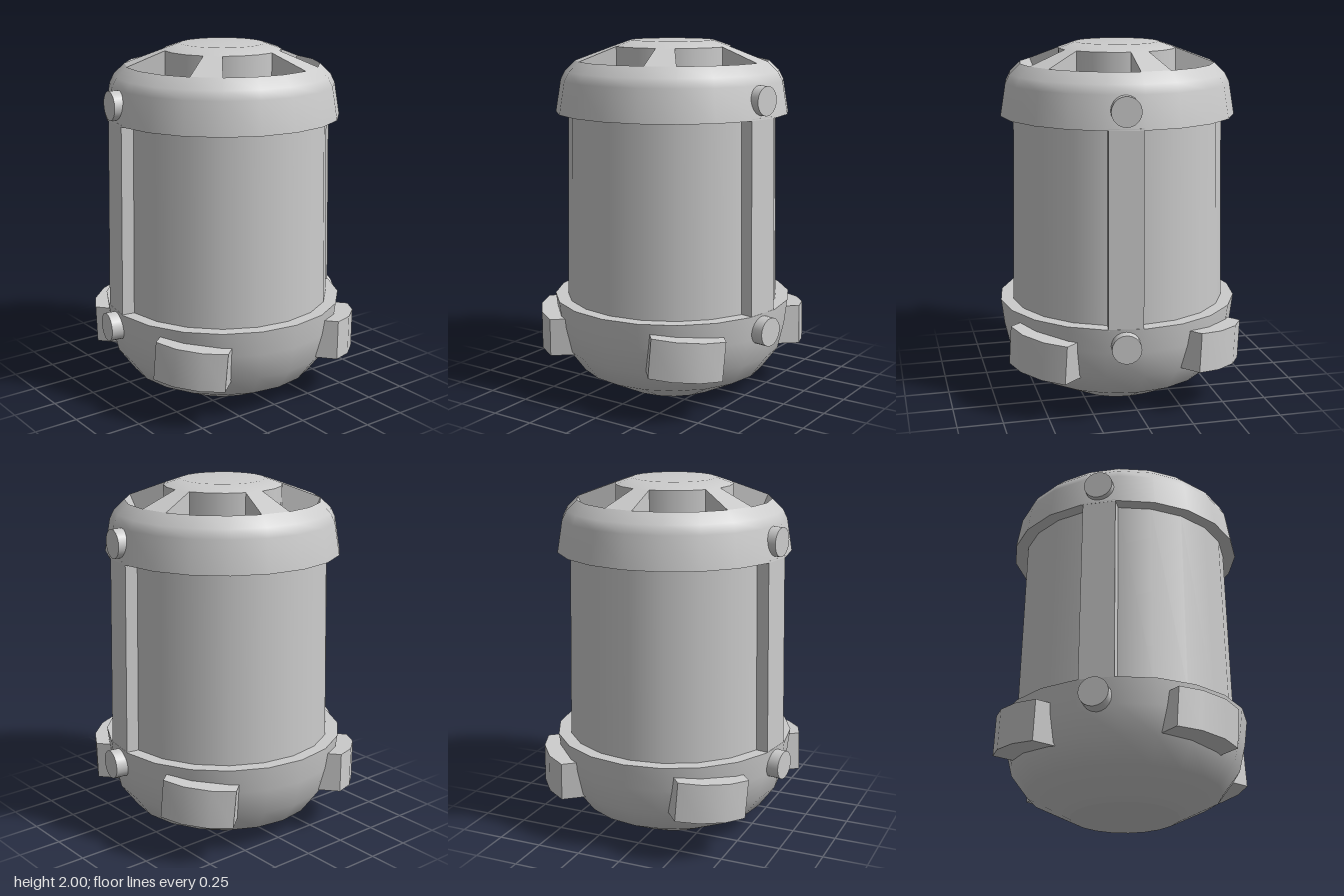
import * as THREE from 'three';
import { toCreasedNormals } from 'three/addons/utils/BufferGeometryUtils.js';
import { ConvexGeometry } from 'three/addons/geometries/ConvexGeometry.js';

const SIDES = 20;
const rad = THREE.MathUtils.degToRad;
const material = new THREE.MeshStandardMaterial({ color: 0xcccccc });

// point at a radius, height and angle (degrees from +x towards +z)
const polar = (r, y, deg) => new THREE.Vector3(r * Math.cos(rad(deg)), y, r * Math.sin(rad(deg)));

export function createModel() {
  const model = new THREE.Group();

  const add = (name, geometry, parent = model) => {
    const mesh = new THREE.Mesh(geometry, material);
    mesh.name = name;
    parent.add(mesh);
    return mesh;
  };
  // smooth surface of revolution; separate calls give sharp edges
  const turn = (name, ...profile) =>
    add(name, new THREE.LatheGeometry(profile.map(([r, y]) => new THREE.Vector2(r, y)), SIDES));

  // bowl-shaped base
  turn('baseBottom', [0, 0], [0.3, 0]);
  turn('baseBowl', [0.3, 0], [0.535, 0.12], [0.63, 0.25], [0.665, 0.4], [0.682, 0.54]);
  turn('baseRim', [0.682, 0.54], [0.59, 0.54]);

  // tapered body
  turn('body', [0.61, 0.53], [0.588, 1.61]);

  // cap with its recessed ring of vents
  turn('capUnderside', [0.57, 1.6], [0.66, 1.6]);
  turn('capShell', [0.66, 1.6], [0.63, 1.78], [0.605, 1.83], [0.545, 1.887]);
  turn('ventOuterWall', [0.545, 1.887], [0.507, 1.8]);
  turn('ventFloor', [0.507, 1.8], [0.33, 1.8]);
  turn('hubWall', [0.33, 1.8], [0.33, 1.967]);
  turn('hubTop', [0.33, 1.967], [0.235, 2], [0, 2]);

  // five spokes between the vents
  const spokeSection = [[0.33, 1.8], [0.507, 1.8], [0.545, 1.887], [0.33, 1.967]];
  for (let i = 0; i < 5; i++) {
    const start = 36 + 72 * i;
    const points = spokeSection.flatMap(([r, y]) => [polar(r, y, start), polar(r, y, start + 18)]);
    add('ventSpoke', new ConvexGeometry(points));
  }

  // raised strip and two bolts, on the front and on the back
  for (const [side, middle] of [['front', 99], ['back', 279]]) {
    const points = [];
    for (const [r, y] of [[0.61, 0.53], [0.588, 1.61]]) {
      for (const edge of [middle - 9, middle + 9]) {
        const corner = polar(r, y, edge);
        points.push(corner.clone().add(polar(-0.04, 0, middle)), corner.add(polar(0.07, 0, middle)));
      }
    }
    add(side + 'Strip', new ConvexGeometry(points));

    for (const [level, y, reach] of [['Lower', 0.445, 0.73], ['Upper', 1.7, 0.68]]) {
      const bolt = add(side + level + 'Bolt', new THREE.CylinderGeometry(0.08, 0.08, 0.14, 20).rotateZ(-Math.PI / 2));
      bolt.position.copy(polar(reach - 0.07, y, middle));
      bolt.rotation.y = -rad(middle);
    }
  }

  // four slightly tilted pads around the base
  const padShape = new THREE.Shape([
    [0.5, -0.2], [0.717, -0.2], [0.762, -0.075], [0.762, 0.075], [0.717, 0.2], [0.5, 0.2],
  ].map(([x, y]) => new THREE.Vector2(x, y)));
  const padGeometry = toCreasedNormals(
    new THREE.ExtrudeGeometry(padShape, { depth: 0.22, bevelEnabled: false })
      .translate(0, 0, -0.11)
      .rotateX(-Math.PI / 2 - 0.08),
    0.6,
  );
  for (let i = 0; i < 4; i++) {
    const pad = add('basePad', padGeometry);
    pad.position.y = 0.358;
    pad.rotation.y = -rad(50 + 90 * i);
  }

  return model;
}
